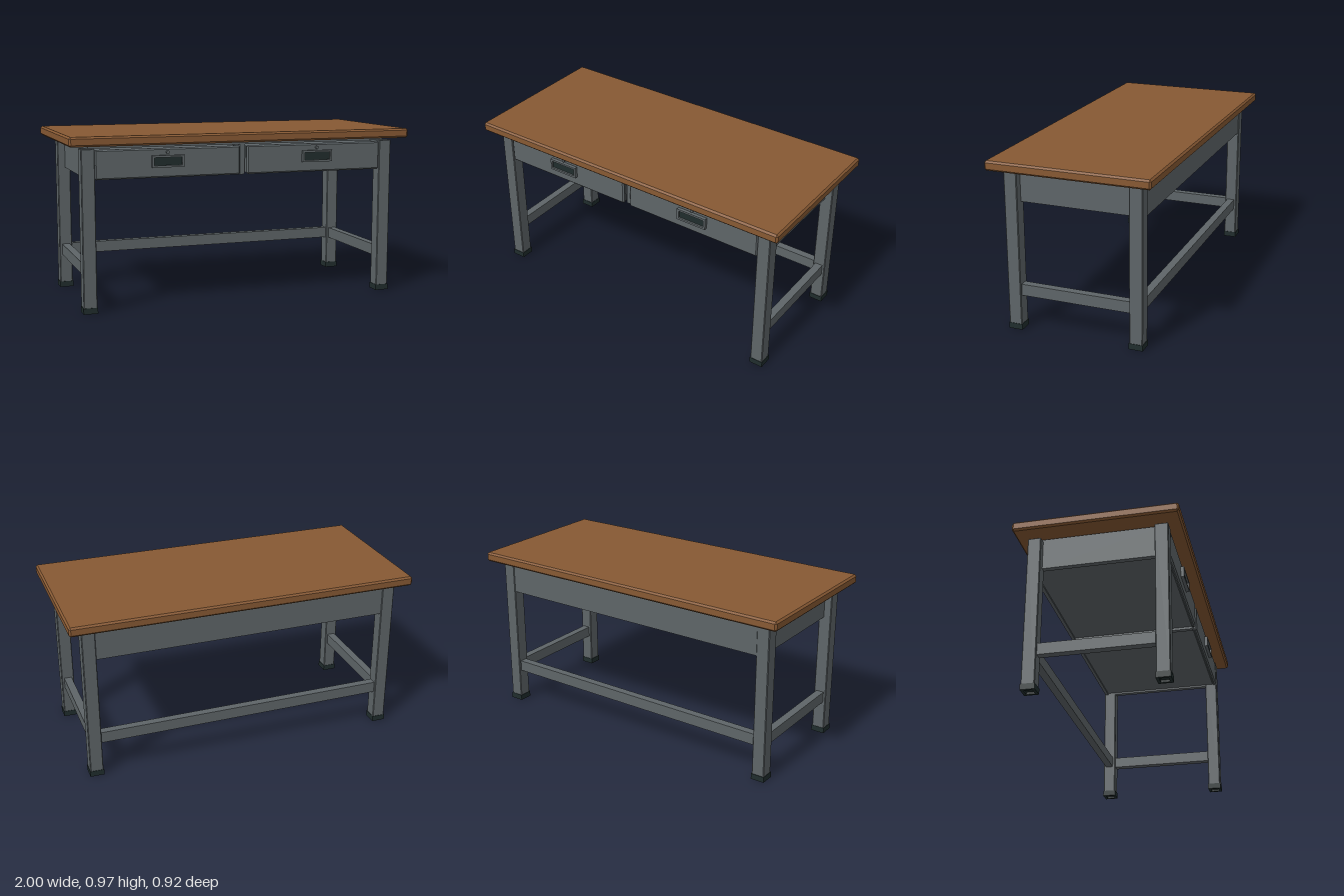
import * as THREE from 'three';
import { ConvexGeometry } from 'three/addons/geometries/ConvexGeometry.js';

// Box with flat chamfers on every edge and corner
function chamferBox(w, h, d, c) {
  const pts = [];
  for (const sx of [-1, 1]) for (const sy of [-1, 1]) for (const sz of [-1, 1]) {
    const x = w / 2, y = h / 2, z = d / 2;
    pts.push(new THREE.Vector3(sx * x, sy * (y - c), sz * (z - c)));
    pts.push(new THREE.Vector3(sx * (x - c), sy * y, sz * (z - c)));
    pts.push(new THREE.Vector3(sx * (x - c), sy * (y - c), sz * z));
  }
  return new ConvexGeometry(pts);
}

// Rectangular ring in the XY plane, extruded along z and centred
function ring(w, h, d, border) {
  const rect = (path, a, b) => path.moveTo(-a, -b).lineTo(a, -b).lineTo(a, b).lineTo(-a, b).lineTo(-a, -b);
  const shape = rect(new THREE.Shape(), w / 2, h / 2);
  shape.holes.push(rect(new THREE.Path(), w / 2 - border, h / 2 - border));
  return new THREE.ExtrudeGeometry(shape, { depth: d, bevelEnabled: false }).translate(0, 0, -d / 2);
}

export function createModel() {
  const model = new THREE.Group();
  model.name = 'workbench';

  const material = (name, color) => {
    const m = new THREE.MeshStandardMaterial({ color });
    m.name = name;
    return m;
  };
  const wood = material('wood', 0x875933);
  const steel = material('grey steel', 0x5e6568);
  const rubber = material('dark rubber', 0x202d2d);

  const add = (name, geometry, mat, x, y, z, parent = model) => {
    const mesh = new THREE.Mesh(geometry, mat);
    mesh.name = name;
    mesh.position.set(x, y, z);
    parent.add(mesh);
    return mesh;
  };
  // Box given by its minimum and maximum corners
  const span = (name, mat, x0, x1, y0, y1, z0, z1, c = 0) => {
    const w = x1 - x0, h = y1 - y0, d = z1 - z0;
    const g = c ? chamferBox(w, h, d, c) : new THREE.BoxGeometry(w, h, d);
    return add(name, g, mat, (x0 + x1) / 2, (y0 + y1) / 2, (z0 + z1) / 2);
  };

  // Table top
  span('tableTop', wood, -1, 1, 0.918, 0.972, -0.46, 0.46, 0.01);

  // Legs with hollow rubber feet
  const legX = 0.887, legZ = 0.352;
  for (const sx of [-1, 1]) for (const sz of [-1, 1]) {
    const x = sx * legX, z = sz * legZ;
    add('leg', chamferBox(0.075, 0.882, 0.075, 0.004), steel, x, 0.461, z);
    add('foot', ring(0.08, 0.08, 0.033, 0.016).rotateX(-Math.PI / 2), rubber, x, 0.0165, z);
    add('footCap', new THREE.BoxGeometry(0.07, 0.008, 0.07), rubber, x, 0.016, z);
  }

  // Stretchers: two at the ends, one at the back
  for (const s of [-1, 1]) {
    add('sideStretcher', new THREE.BoxGeometry(0.045, 0.065, 0.64), steel, s * legX, 0.2325, 0);
  }
  add('backStretcher', new THREE.BoxGeometry(1.71, 0.065, 0.045), steel, 0, 0.2325, -legZ);

  // Drawer housing
  for (const s of [-1, 1]) {
    add('sidePanel', new THREE.BoxGeometry(0.03, 0.182, 0.69), steel, s * 0.866, 0.821, 0.015);
  }
  span('backPanel', steel, -0.85, 0.85, 0.73, 0.912, -0.385, -0.365);
  span('backRail', steel, -0.88, 0.88, 0.895, 0.918, -0.375, -0.325);
  span('housingTop', steel, -0.88, 0.88, 0.9, 0.911, -0.33, 0.36);
  span('centreDivider', steel, -0.014, 0.014, 0.73, 0.911, -0.365, 0.365);

  // Drawers with recessed pulls and locks
  for (const s of [-1, 1]) {
    const lo = s < 0 ? -0.85 : 0.02, hi = s < 0 ? -0.02 : 0.85;
    span('drawerFront', steel, lo, hi, 0.732, 0.895, 0.365, 0.388, 0.008);
    span('drawerBody', steel, lo + 0.002, hi - 0.002, 0.74, 0.89, -0.365, 0.366);
    const pull = new THREE.Group();
    pull.name = 'drawerPull';
    pull.position.set(s * 0.445, 0.823, 0.388);
    model.add(pull);
    add('pullFrame', ring(0.182, 0.066, 0.019, 0.011), steel, 0, 0, 0.0095, pull);
    add('pullRecess', new THREE.BoxGeometry(0.164, 0.048, 0.008), rubber, 0, 0, 0.005, pull);
    add('lock', new THREE.CylinderGeometry(0.009, 0.009, 0.014, 20).rotateX(Math.PI / 2), steel,
      0, 0.049, 0.006, pull);
  }
  return model;
}
